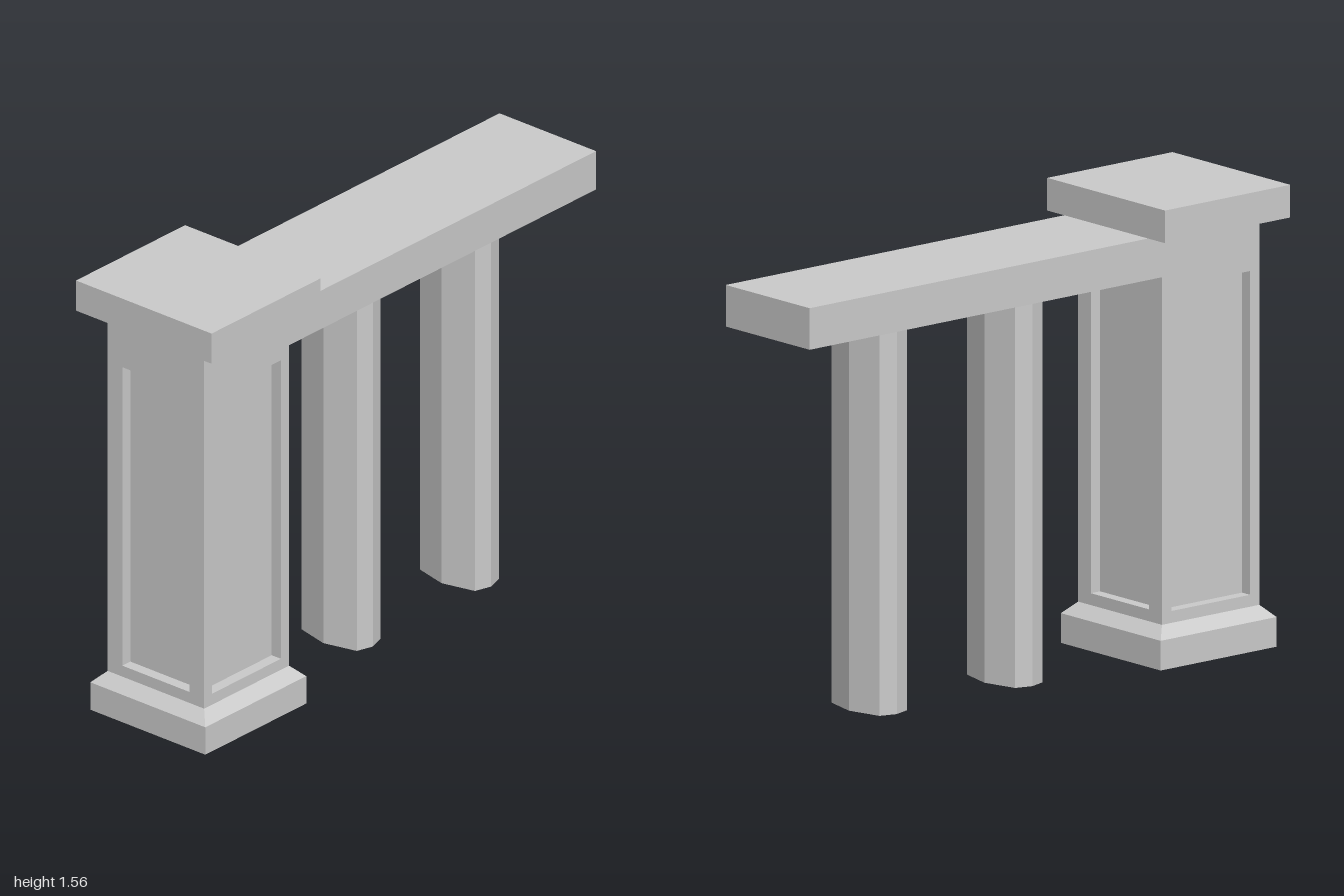
import * as THREE from 'three';

const material = new THREE.MeshStandardMaterial({ color: 0xcccccc, flatShading: true });

function add(parent, name, geometry, x, y, z) {
  const mesh = new THREE.Mesh(geometry, material);
  mesh.name = name;
  mesh.position.set(x, y, z);
  parent.add(mesh);
  return mesh;
}

// Box given by its lower and upper corners
function addBox(parent, name, [x0, y0, z0], [x1, y1, z1]) {
  return add(parent, name, new THREE.BoxGeometry(x1 - x0, y1 - y0, z1 - z0),
    (x0 + x1) / 2, (y0 + y1) / 2, (z0 + z1) / 2);
}

function rectangle(path, halfWidth, y0, y1) {
  return path.moveTo(-halfWidth, y0).lineTo(halfWidth, y0)
    .lineTo(halfWidth, y1).lineTo(-halfWidth, y1).closePath();
}

export function createModel() {
  const model = new THREE.Group();
  model.name = 'porchPillarAndBeam';

  // Square pillar with a recessed panel on each side
  const pillar = new THREE.Group();
  pillar.name = 'pillar';
  pillar.position.x = -0.73;
  model.add(pillar);

  const half = 0.21, depth = 0.04, inner = half - depth;
  const bottom = 0.14, top = 1.45;
  addBox(pillar, 'plinth', [-0.25, 0, -0.25], [0.25, 0.1, 0.25]);
  const slope = new THREE.CylinderGeometry(half * Math.SQRT2, 0.25 * Math.SQRT2, 0.04, 4);
  add(pillar, 'plinthSlope', slope.rotateY(Math.PI / 4), 0, 0.12, 0);
  addBox(pillar, 'pillarCore', [-inner, bottom, -inner], [inner, top, inner]);

  const names = ['frontPanelFrame', 'leftPanelFrame', 'backPanelFrame', 'rightPanelFrame'];
  names.forEach((name, i) => {
    const facesX = i % 2 === 1;
    const shape = rectangle(new THREE.Shape(), facesX ? inner : half, bottom, top);
    shape.holes.push(rectangle(new THREE.Path(), facesX ? 0.146 : inner, 0.18, 1.27));
    const frame = new THREE.ExtrudeGeometry(shape, { depth, bevelEnabled: false });
    frame.translate(0, 0, inner);
    add(pillar, name, frame, 0, 0, 0).rotation.y = i * Math.PI / 2;
  });
  addBox(pillar, 'capSlab', [-0.27, top, -0.295], [0.27, 1.56, 0.295]);

  // Beam running out from the top of the pillar
  addBox(model, 'beam', [-0.52, 1.31, -half], [1, top, half]);

  // Eight-sided oval columns under the beam
  const outline = [[0.059, 0.12], [0.088, 0], [0.059, -0.12], [0, -0.138],
    [-0.059, -0.12], [-0.088, 0], [-0.059, 0.12], [0, 0.138]];
  const oval = new THREE.Shape(outline.map(([x, z]) => new THREE.Vector2(x, -z)));
  const column = new THREE.ExtrudeGeometry(oval, { depth: 1.31, bevelEnabled: false });
  column.rotateX(-Math.PI / 2);
  add(model, 'innerColumn', column, -0.023, 0, 0);
  add(model, 'outerColumn', column, 0.562, 0, 0);

  return model;
}
